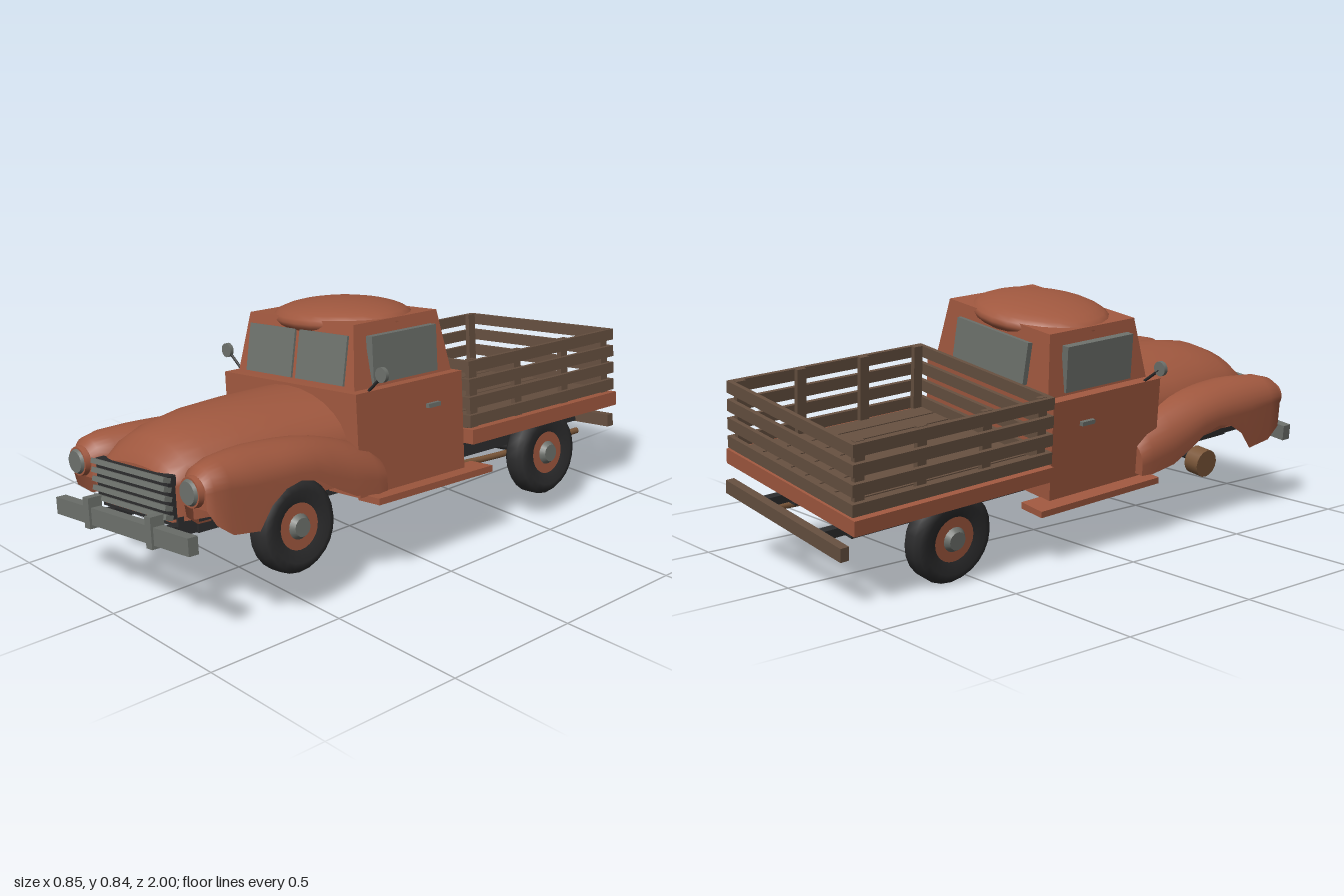
import * as THREE from 'three';

const mat = (name, color, side = THREE.FrontSide) => {
  const m = new THREE.MeshStandardMaterial({ color, side });
  m.name = name;
  return m;
};

export function createModel() {
  const paint = mat('rust orange paint', 0xa0583f, THREE.DoubleSide);
  const grey = mat('dull grey metal and glass', 0x6c706b);
  const wood = mat('weathered wood', 0x665040);
  const black = mat('black rubber and chassis', 0x2c2c2d);
  const rust = mat('rusty brown', 0x7a5638);

  const model = new THREE.Group();
  model.name = 'pickupTruck';
  const truck = new THREE.Group();
  truck.name = 'tiltedTruck';
  model.add(truck);

  const add = (name, geo, m, x = 0, y = 0, z = 0, parent = truck) => {
    const mesh = new THREE.Mesh(geo, m);
    mesh.name = name;
    mesh.position.set(x, y, z);
    parent.add(mesh);
    return mesh;
  };
  const box = (name, m, w, h, d, x, y, z) => add(name, new THREE.BoxGeometry(w, h, d), m, x, y, z);
  const rod = (name, m, a, b, r, sides = 8) => {
    const from = new THREE.Vector3(...a), to = new THREE.Vector3(...b);
    const dir = to.clone().sub(from);
    const mesh = add(name, new THREE.CylinderGeometry(r, r, dir.length(), sides), m);
    mesh.position.copy(from).add(to).multiplyScalar(0.5);
    mesh.quaternion.setFromUnitVectors(new THREE.Vector3(0, 1, 0), dir.normalize());
    return mesh;
  };

  // Skin over arched cross-sections, closed at both ends.
  // Each section: [z, centre x, half width, top y, shoulder y, bottom y]
  const arch = ([z, xc, w, top, mid, bottom], steps = 14) => {
    const pts = [[xc + w, bottom, z]];
    for (let i = 0; i <= steps; i++) {
      const a = Math.PI * i / steps;
      pts.push([xc + w * Math.cos(a), mid + (top - mid) * Math.sin(a), z]);
    }
    pts.push([xc - w, bottom, z]);
    return pts;
  };
  const loft = (sections) => {
    const rings = sections.map((s) => arch(s));
    const n = rings[0].length, pos = rings.flat(2), index = [];
    for (let j = 0; j < rings.length - 1; j++) {
      for (let i = 0; i < n - 1; i++) {
        const a = j * n + i, b = a + n;
        index.push(a, a + 1, b, b, a + 1, b + 1);
      }
    }
    [rings[0], rings[rings.length - 1]].forEach((ring, k) => {
      const start = pos.length / 3;
      pos.push(...ring.flat());
      for (let i = 1; i < n - 1; i++) {
        index.push(start, start + (k ? i + 1 : i), start + (k ? i : i + 1));
      }
    });
    const g = new THREE.BufferGeometry();
    g.setAttribute('position', new THREE.Float32BufferAttribute(pos, 3));
    g.setIndex(index);
    g.computeVertexNormals();
    return g;
  };

  // Hood and front fenders
  add('hood', loft([
    [0.93, 0, 0.185, 0.455, 0.41, 0.3], [0.912, 0, 0.195, 0.49, 0.41, 0.3],
    [0.87, 0, 0.21, 0.53, 0.42, 0.3], [0.8, 0, 0.228, 0.56, 0.42, 0.3],
    [0.67, 0, 0.25, 0.582, 0.42, 0.3], [0.5, 0, 0.27, 0.59, 0.42, 0.3],
    [0.3, 0, 0.285, 0.592, 0.42, 0.3],
  ]), paint);
  const fender = [
    [0.925, 0.3, 0.055, 0.465, 0.415, 0.365], [0.905, 0.298, 0.074, 0.488, 0.42, 0.32],
    [0.85, 0.29, 0.088, 0.504, 0.42, 0.28], [0.75, 0.275, 0.103, 0.51, 0.41, 0.268],
    [0.7, 0.27, 0.108, 0.51, 0.41, 0.335], [0.64, 0.27, 0.108, 0.508, 0.41, 0.375],
    [0.58, 0.27, 0.108, 0.505, 0.41, 0.388], [0.51, 0.27, 0.108, 0.498, 0.4, 0.372],
    [0.44, 0.27, 0.108, 0.486, 0.37, 0.33], [0.36, 0.27, 0.108, 0.464, 0.34, 0.29],
    [0.26, 0.27, 0.106, 0.43, 0.32, 0.275], [0.215, 0.27, 0.098, 0.395, 0.31, 0.275],
  ];
  for (const s of [1, -1]) {
    add('frontFender', loft(fender.map(([z, x, ...rest]) => [z, x * s, ...rest])), paint);
  }

  // Cab: lower body, tapered upper body and domed roof
  box('cabBody', paint, 0.67, 0.338, 0.48, 0, 0.431, 0.065);
  const upper = new THREE.BoxGeometry(0.59, 0.205, 0.44);
  const p = upper.attributes.position;
  for (let i = 0; i < p.count; i++) {
    if (p.getY(i) < 0) continue;
    p.setX(i, p.getX(i) * 0.885);
    p.setZ(i, p.getZ(i) > 0 ? 0.18 : -0.195);
  }
  upper.computeVertexNormals();
  add('cabUpper', upper, paint, 0, 0.7025, 0.055);
  add('roofDome', new THREE.SphereGeometry(1, 24, 14), paint, 0, 0.79, 0.047).scale.set(0.265, 0.062, 0.215);

  // Windows, door handles and mirrors
  for (const s of [1, -1]) {
    box('windshieldPane', grey, 0.235, 0.162, 0.018, s * 0.1285, 0.69, 0.256).rotation.x = -0.19;
    box('sideWindow', grey, 0.028, 0.155, 0.29, s * 0.288, 0.688, 0.05);
    box('doorHandle', grey, 0.016, 0.014, 0.055, s * 0.342, 0.51, -0.03);
    rod('mirrorArm', black, [s * 0.325, 0.6, 0.24], [s * 0.39, 0.655, 0.24], 0.005, 6);
    add('mirror', new THREE.CylinderGeometry(0.025, 0.025, 0.014, 14), grey, s * 0.393, 0.66, 0.243).rotation.x = Math.PI / 2;
  }
  box('rearWindow', grey, 0.37, 0.14, 0.03, 0, 0.69, -0.158).rotation.x = 0.12;

  // Grille with slats, headlights and bumper
  box('grilleBack', black, 0.385, 0.135, 0.03, 0, 0.378, 0.927);
  for (let i = 0; i < 5; i++) {
    box('grilleSlat', grey, 0.39, 0.016, 0.028, 0, 0.436 - i * 0.029, 0.946).rotation.x = -0.3;
  }
  box('frontApron', black, 0.4, 0.03, 0.2, 0, 0.3, 0.82);
  for (const s of [1, -1]) {
    const rim = add('headlightRim', new THREE.CylinderGeometry(0.047, 0.055, 0.05, 20), paint, s * 0.3, 0.416, 0.918);
    rim.rotation.x = Math.PI / 2;
    const lens = add('headlightLens', new THREE.CylinderGeometry(0.036, 0.042, 0.012, 20), grey, s * 0.3, 0.416, 0.947);
    lens.rotation.x = Math.PI / 2;
    box('bumperGuard', grey, 0.03, 0.1, 0.05, s * 0.167, 0.283, 0.983);
    box('bumperBracket', black, 0.035, 0.035, 0.16, s * 0.16, 0.265, 0.89);
  }
  box('frontBumper', grey, 0.71, 0.056, 0.036, 0, 0.273, 0.982);

  // Running boards and chassis
  for (const s of [1, -1]) {
    box('runningBoard', paint, 0.1, 0.022, 0.53, s * 0.34, 0.253, 0.01);
    box('frameRail', black, 0.045, 0.05, 1.68, s * 0.16, 0.27, -0.005);
  }
  const axleY = 0.238, axleZ = 0.58;
  for (const z of [axleZ, -axleZ]) rod('axle', black, [-0.3, axleY, z], [0.3, axleY, z], 0.021);
  add('differential', new THREE.SphereGeometry(0.042, 10, 8), black, 0, 0.228, -axleZ);
  const exhaustPath = new THREE.CatmullRomCurve3([
    [0.1, 0.24, 0.31], [0.14, 0.225, -0.1], [0.18, 0.215, -0.5], [0.2, 0.23, -0.93],
  ].map((v) => new THREE.Vector3(...v)));
  add('exhaustPipe', new THREE.TubeGeometry(exhaustPath, 12, 0.012, 8), rust);

  // Wheels: three mounted, the front right one replaced by a bare brake drum
  const tyre = new THREE.LatheGeometry([
    [0.075, -0.034], [0.115, -0.045], [0.137, -0.038], [0.15, -0.022],
    [0.15, 0.022], [0.137, 0.038], [0.115, 0.045], [0.075, 0.034],
  ].map(([r, y]) => new THREE.Vector2(r, y)), 24);
  for (const [s, z] of [[1, axleZ], [1, -axleZ], [-1, -axleZ]]) {
    const wheel = new THREE.Group();
    wheel.name = 'wheel';
    wheel.position.set(s * 0.32, axleY, z);
    wheel.rotation.z = -s * Math.PI / 2;
    truck.add(wheel);
    add('tyre', tyre, black, 0, 0, 0, wheel);
    add('wheelDisc', new THREE.CylinderGeometry(0.08, 0.08, 0.068, 24), paint, 0, 0, 0, wheel);
    add('hubCap', new THREE.CylinderGeometry(0.03, 0.042, 0.018, 18), grey, 0, 0.042, 0, wheel);
  }
  rod('brakeDrum', rust, [-0.33, axleY - 0.01, axleZ], [-0.27, axleY - 0.01, axleZ], 0.05, 16);

  // Cargo bed with plank floor
  box('bedBase', paint, 0.73, 0.05, 0.77, 0, 0.37, -0.575);
  for (let i = 0; i < 8; i++) {
    box('floorPlank', wood, 0.076, 0.012, 0.75, (i - 3.5) * 0.083, 0.4, -0.575);
  }

  // Slatted rails on all four sides, with posts inside
  for (let i = 0; i < 4; i++) {
    const y = 0.423 + i * 0.062;
    for (const s of [1, -1]) {
      box('sideSlat', wood, 0.016, 0.04, 0.77, s * 0.347, y, -0.575);
      box('endSlat', wood, 0.68, 0.04, 0.016, 0, y, -0.575 + s * 0.377);
    }
  }
  for (const s of [1, -1]) {
    for (const z of [-0.225, -0.45, -0.7, -0.925]) {
      box('stakePost', wood, 0.018, 0.235, 0.035, s * 0.33, 0.513, z);
    }
    box('rearBumperBracket', black, 0.03, 0.03, 0.13, s * 0.16, 0.275, -0.9);
  }
  box('rearBumper', wood, 0.66, 0.045, 0.03, 0, 0.28, -0.97);

  // The truck leans on its missing wheel side and sags at the rear
  truck.rotation.set(-0.052, 0, 0.1257);
  truck.position.set(0.07, -0.005, 0);
  return model;
}
